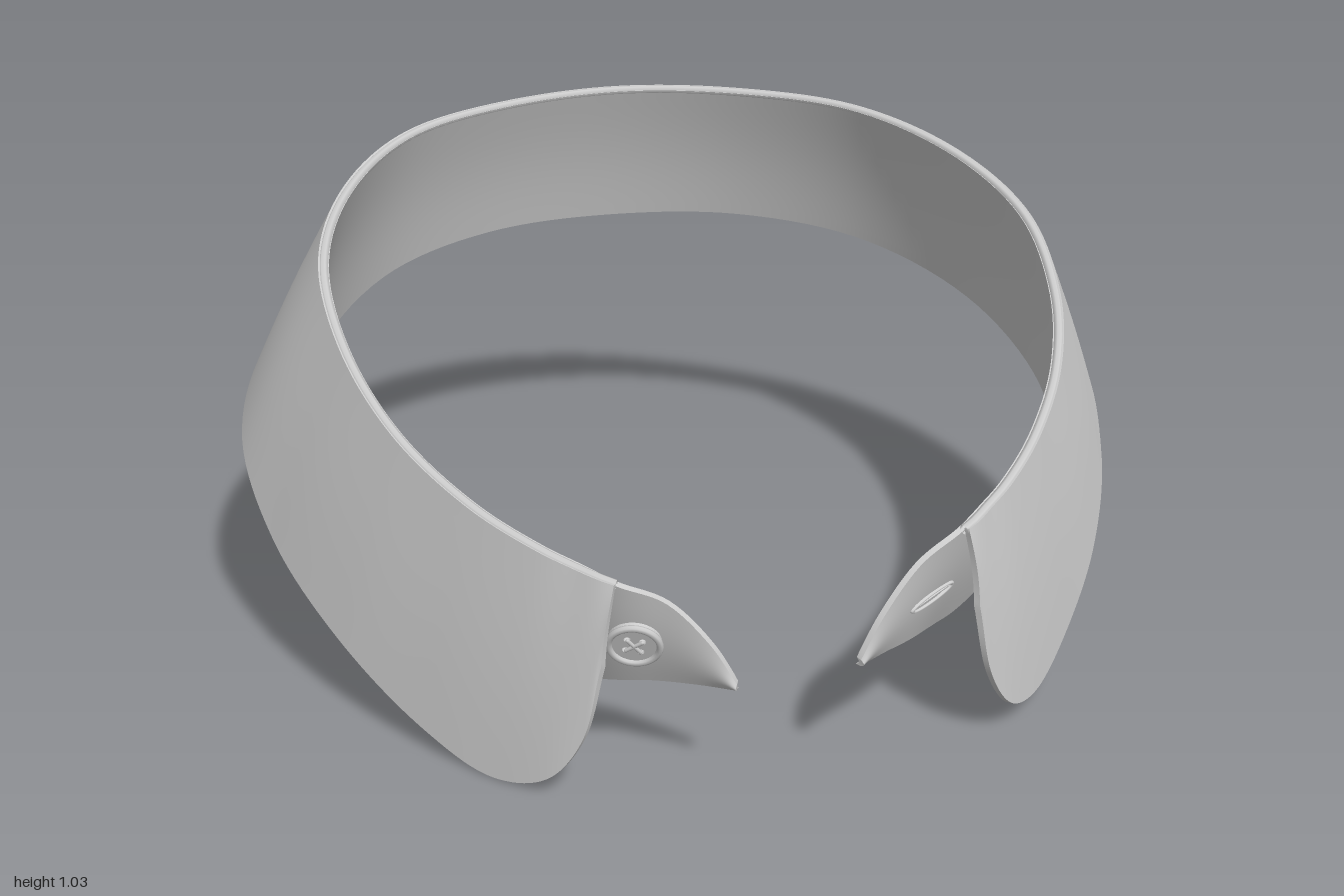
import * as THREE from 'three';

const V = (p) => new THREE.Vector3(...p);
const grey = new THREE.MeshStandardMaterial({ color: 0xcccccc, side: THREE.DoubleSide });

// Half edges, from centre back to the front of the left side
const fold = [[0, 1.035, -0.73], [0.3, 1.025, -0.675], [0.55, 1.005, -0.52], [0.72, 0.95, -0.27],
  [0.8, 0.865, 0], [0.78, 0.76, 0.24], [0.7, 0.665, 0.45], [0.58, 0.59, 0.63], [0.47, 0.545, 0.75],
  [0.41, 0.525, 0.8]];
const leafTop = [...fold, [0.37, 0.515, 0.835], [0.345, 0.508, 0.85]];
const leafBottom = [[0, 0.7, -0.92], [0.36, 0.69, -0.86], [0.68, 0.65, -0.67], [0.9, 0.575, -0.38],
  [0.99, 0.46, -0.06], [0.945, 0.32, 0.18], [0.83, 0.2, 0.41], [0.69, 0.095, 0.59], [0.57, 0.045, 0.72],
  [0.475, 0.08, 0.81], [0.41, 0.18, 0.85], [0.37, 0.34, 0.862]];
const bandTop = [...fold, [0.345, 0.5, 0.845], [0.25, 0.455, 0.878], [0.17, 0.37, 0.905], [0.12, 0.285, 0.917]];
const bandBottom = [[0, 0.675, -0.86], [0.33, 0.67, -0.8], [0.62, 0.635, -0.62], [0.82, 0.55, -0.33],
  [0.89, 0.43, -0.02], [0.84, 0.33, 0.2], [0.72, 0.265, 0.37], [0.58, 0.235, 0.5], [0.47, 0.225, 0.61],
  [0.4, 0.225, 0.675], [0.34, 0.235, 0.73], [0.26, 0.25, 0.805], [0.18, 0.265, 0.87], [0.12, 0.27, 0.915]];

// The right side hangs slightly lower at the front
function mirrored([x, y, z]) {
  return [-x, y - 0.035 * THREE.MathUtils.smoothstep(z, 0, 0.7), x < 0.3 && z > 0.5 ? z - 0.025 : z];
}
function fullCurve(half) {
  return new THREE.CatmullRomCurve3([...half.slice(1).reverse().map(mirrored), ...half].map(V));
}

// Surface spanned between an upper and a lower edge
function makeSurface(top, bottom, bulge) {
  const a = fullCurve(top), b = fullCurve(bottom);
  const frame = (u, v) => {
    const u0 = Math.max(0, u - 0.002), u1 = Math.min(1, u + 0.002);
    const at = (t) => a.getPoint(t).lerp(b.getPoint(t), v);
    const du = at(u1).sub(at(u0)).normalize();
    const dv = b.getPoint(u).sub(a.getPoint(u)).normalize();
    const n = du.clone().cross(dv).normalize();
    const p = at(u).addScaledVector(n, bulge * Math.sin(Math.PI * v));
    return { p, du, n };
  };
  return { frame, count: top.length };
}

// Cloth sheet with two faces and a closed rim
function clothSheet(surface, near, far, name) {
  const nu = 200, nv = 14, pos = [], idx = [];
  const add = (u, v, off) => {
    const { p, n } = surface.frame(u, v);
    pos.push(...p.addScaledVector(n, off).toArray());
  };
  for (const off of [far, near]) {
    const base = pos.length / 3;
    for (let i = 0; i <= nu; i++) for (let j = 0; j <= nv; j++) add(i / nu, j / nv, off);
    for (let i = 0; i < nu; i++) for (let j = 0; j < nv; j++) {
      const a = base + i * (nv + 1) + j, b = a + nv + 1;
      if (off === far) idx.push(a, b, a + 1, b, b + 1, a + 1);
      else idx.push(a, a + 1, b, b, a + 1, b + 1);
    }
  }
  const rim = [];
  for (let i = 0; i < nu; i++) rim.push([i / nu, 0]);
  for (let j = 0; j < nv; j++) rim.push([1, j / nv]);
  for (let i = nu; i > 0; i--) rim.push([i / nu, 1]);
  for (let j = nv; j >= 0; j--) rim.push([0, j / nv]);
  const base = pos.length / 3;
  for (const [u, v] of rim) { add(u, v, far); add(u, v, near); }
  for (let k = 0; k < rim.length - 1; k++) {
    const a = base + 2 * k;
    idx.push(a, a + 1, a + 2, a + 2, a + 1, a + 3);
  }
  const geo = new THREE.BufferGeometry();
  geo.setAttribute('position', new THREE.Float32BufferAttribute(pos, 3));
  geo.setIndex(idx);
  geo.computeVertexNormals();
  return named(geo, name);
}

function named(geo, name) {
  const mesh = new THREE.Mesh(geo, grey);
  mesh.name = name;
  return mesh;
}

// Places a group on a surface, with its z axis pointing outwards
function attach(group, surface, side, index, v) {
  const half = surface.count - 1;
  const { p, du, n } = surface.frame((half + side * index) / (2 * half), v);
  group.matrix.makeBasis(du, n.clone().cross(du), n).setPosition(p);
  group.matrix.decompose(group.position, group.quaternion, group.scale);
  return group;
}

function makeButton() {
  const g = new THREE.Group();
  g.name = 'button';
  // Disc with four sewing holes
  const disc = new THREE.Shape().absarc(0, 0, 0.054, 0, Math.PI * 2);
  for (const x of [-0.015, 0.015]) for (const y of [-0.015, 0.015]) {
    disc.holes.push(new THREE.Path().absarc(x, y, 0.007, 0, Math.PI * 2, true));
  }
  const body = named(new THREE.ExtrudeGeometry(disc, { depth: 0.012, bevelEnabled: false, curveSegments: 24 }), 'buttonDisc');
  const rim = named(new THREE.TorusGeometry(0.05, 0.007, 8, 40), 'buttonRim');
  rim.position.z = 0.012;
  g.add(body, rim);
  // Crossed sewing thread
  for (const s of [-1, 1]) {
    const thread = named(new THREE.CapsuleGeometry(0.004, 0.04, 4, 8), 'buttonThread');
    thread.rotation.z = s * Math.PI / 4;
    thread.position.z = 0.014;
    g.add(thread);
  }
  return g;
}

function makeButtonhole() {
  const g = new THREE.Group();
  g.name = 'buttonhole';
  const stitching = named(new THREE.TorusGeometry(0.062, 0.006, 8, 40), 'buttonholeStitching');
  stitching.scale.y = 0.22;
  const slit = named(new THREE.BoxGeometry(0.1, 0.004, 0.006), 'buttonholeSlit');
  g.add(stitching, slit);
  return g;
}

export function createModel() {
  const model = new THREE.Group();
  model.name = 'shirtCollar';
  const leaf = makeSurface(leafTop, leafBottom, 0.005);
  const band = makeSurface(bandTop, bandBottom, 0.008);
  model.add(clothSheet(leaf, 0, 0.012, 'collarLeaf'));
  model.add(clothSheet(band, -0.012, 0, 'collarBand'));
  // Rounded fold joining leaf and band
  const roll = named(new THREE.TubeGeometry(fullCurve(leafTop), 160, 0.011, 8, false), 'collarFold');
  roll.position.y = -0.004;
  model.add(roll);
  model.add(attach(makeButton(), band, -1, 10.5, 0.5));
  model.add(attach(makeButtonhole(), band, 1, 10.6, 0.52));
  return model;
}
